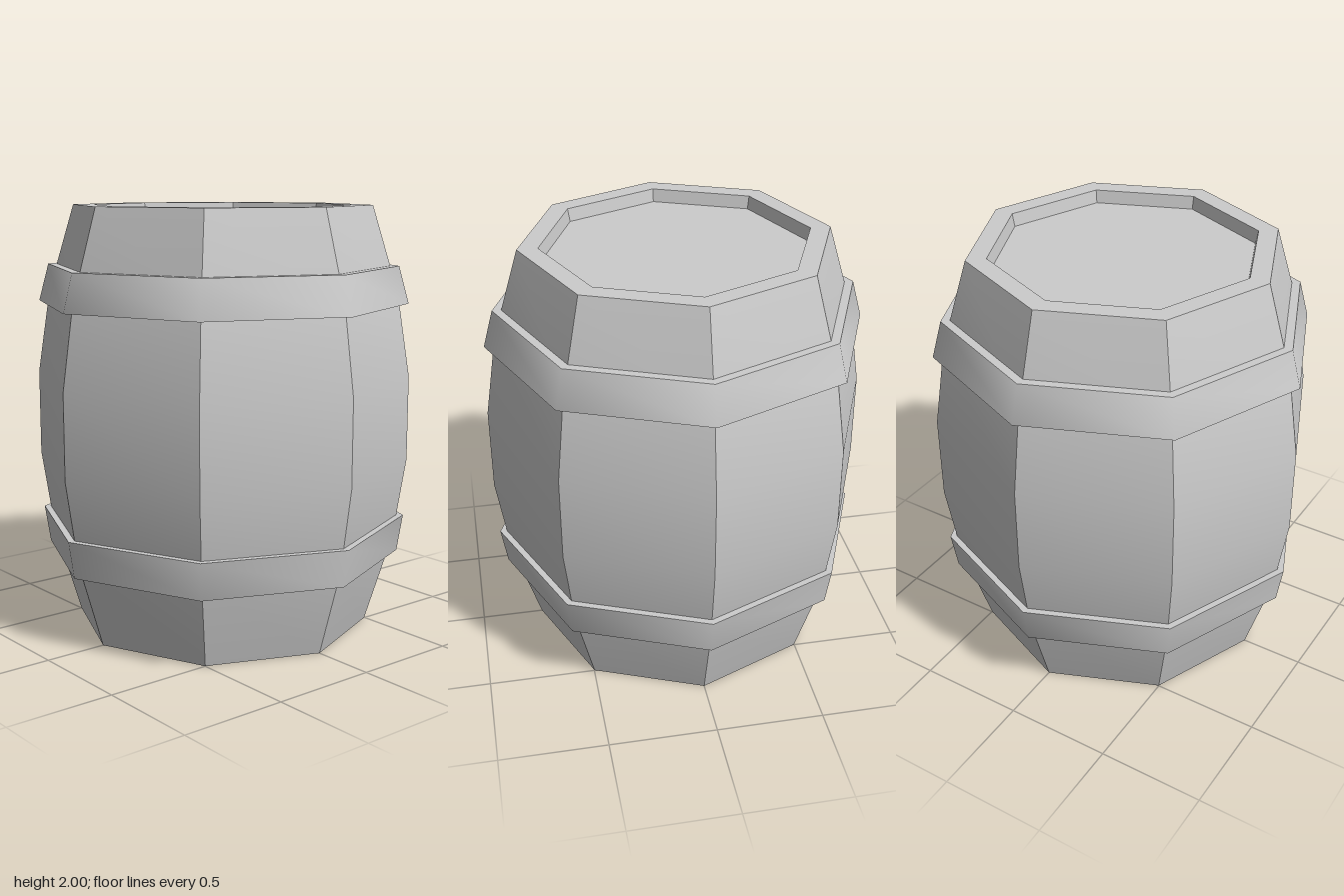
import * as THREE from 'three';
import { toCreasedNormals } from 'three/addons/utils/BufferGeometryUtils.js';

const SIDES = 8;
const material = new THREE.MeshStandardMaterial({ color: 0xcccccc });

// Eight-sided turned part; edges sharper than the crease angle stay hard
function turned(name, profile, crease) {
  const points = profile.map(([r, y]) => new THREE.Vector2(r, y));
  const geometry = toCreasedNormals(new THREE.LatheGeometry(points, SIDES), crease);
  const mesh = new THREE.Mesh(geometry, material);
  mesh.name = name;
  return mesh;
}

// Flared band with a closed rectangular section
function hoop(name, y0, r0, y1, r1) {
  const inner = 0.78;
  return turned(name, [[inner, y0], [r0, y0], [r1, y1], [inner, y1]], 1.0);
}

export function createModel() {
  const barrel = new THREE.Group();
  barrel.name = 'barrel';

  // Bulging staves with a recessed head at each end
  barrel.add(turned('staves', [
    [0, 0.06], [0.6, 0.06], [0.612, 0],
    [0.705, 0], [0.83, 0.41], [0.89, 0.8],
    [0.89, 1.2], [0.83, 1.59], [0.705, 2],
    [0.612, 2], [0.6, 1.94], [0, 1.94],
  ], 0.5));

  // Two hoops
  barrel.add(hoop('lowerHoop', 0.35, 0.853, 0.525, 0.88));
  barrel.add(hoop('upperHoop', 1.545, 0.88, 1.72, 0.832));

  // Small plug on the underside
  const plugGeometry = new THREE.CylinderGeometry(0.058, 0.058, 0.045, 8);
  const plug = new THREE.Mesh(toCreasedNormals(plugGeometry, 1.0), material);
  plug.name = 'plug';
  plug.position.set(0.33, 0.04, 0.13);
  barrel.add(plug);

  return barrel;
}
